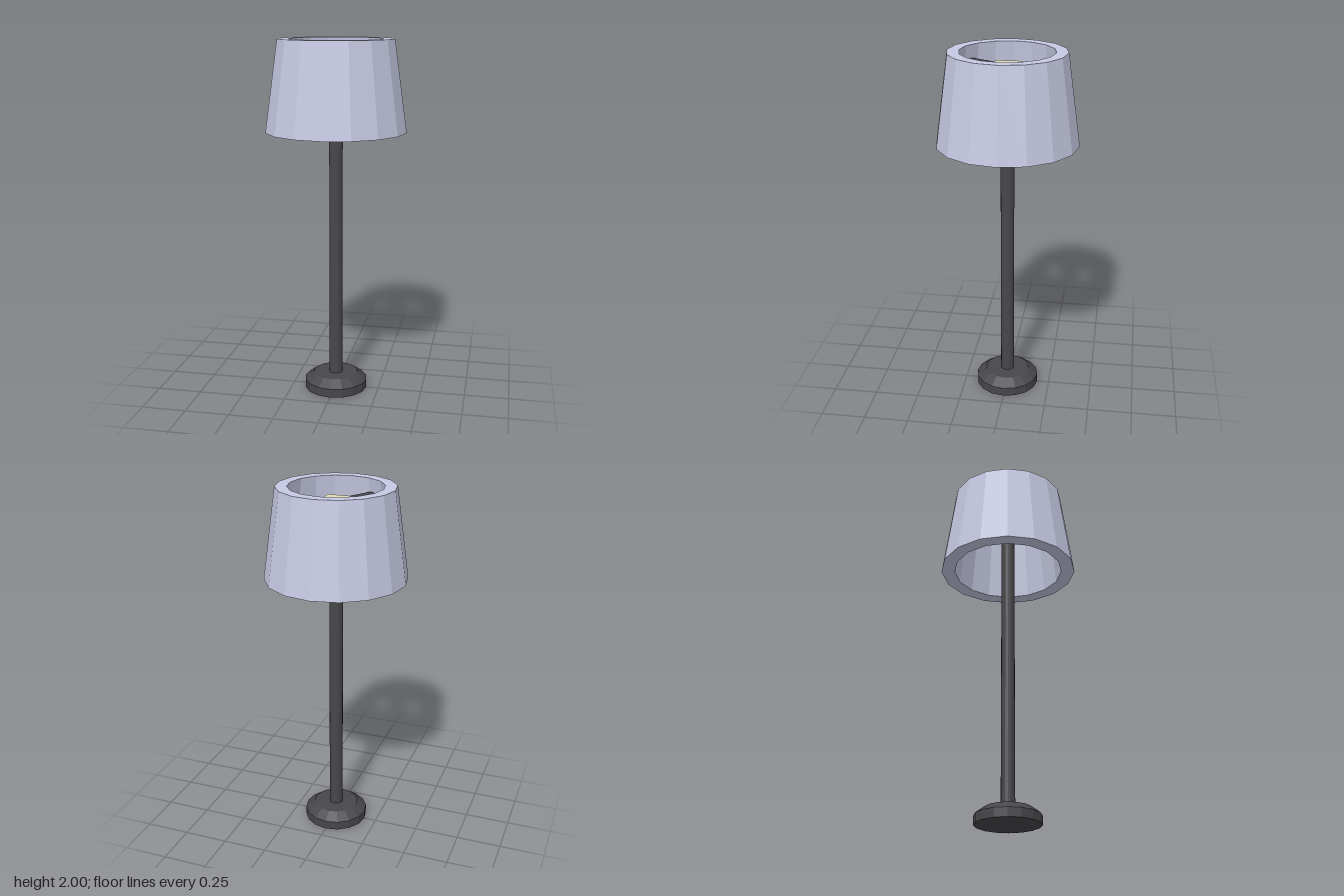
import * as THREE from 'three';

const SIDES = 16;

function material(name, color) {
  const m = new THREE.MeshStandardMaterial({ color, flatShading: true });
  m.name = name;
  return m;
}

// Faceted solid of revolution from [radius, height] pairs
function turned(name, profile, mat) {
  const points = profile.map(([r, y]) => new THREE.Vector2(r, y));
  const mesh = new THREE.Mesh(new THREE.LatheGeometry(points, SIDES), mat);
  mesh.name = name;
  return mesh;
}

export function createModel() {
  const metal = material('dark metal', 0x47474b);
  const fabric = material('pale lilac shade', 0xc6c9e3);
  const glow = material('cream bulb', 0xe2ddb4);

  const lamp = new THREE.Group();
  lamp.name = 'floorLamp';

  // Foot with a chamfered top
  lamp.add(turned('base', [[0, 0], [0.18, 0], [0.18, 0.05], [0.127, 0.09], [0, 0.09]], metal));

  // Pole running up into the bulb
  lamp.add(turned('pole', [[0, 0.08], [0.038, 0.08], [0.038, 1.82], [0, 1.82]], metal));

  // Thick tapered shade, open at both ends
  lamp.add(turned('shade', [[0.39, 1.5], [0.32, 2], [0.256, 2], [0.312, 1.5], [0.39, 1.5]], fabric));

  // Cube bulb
  const bulb = new THREE.Mesh(new THREE.BoxGeometry(0.145, 0.145, 0.145), glow);
  bulb.name = 'bulb';
  bulb.position.y = 1.862;
  lamp.add(bulb);

  // Three arms holding the shade
  const armLength = 0.262;
  const armGeometry = new THREE.BoxGeometry(armLength, 0.04, 0.052).translate(armLength / 2, 1.905, 0);
  for (let i = 0; i < 3; i++) {
    const arm = new THREE.Mesh(armGeometry, metal);
    arm.name = 'shadeArm' + (i + 1);
    arm.rotation.y = (i * Math.PI * 2) / 3;
    lamp.add(arm);
  }

  return lamp;
}
